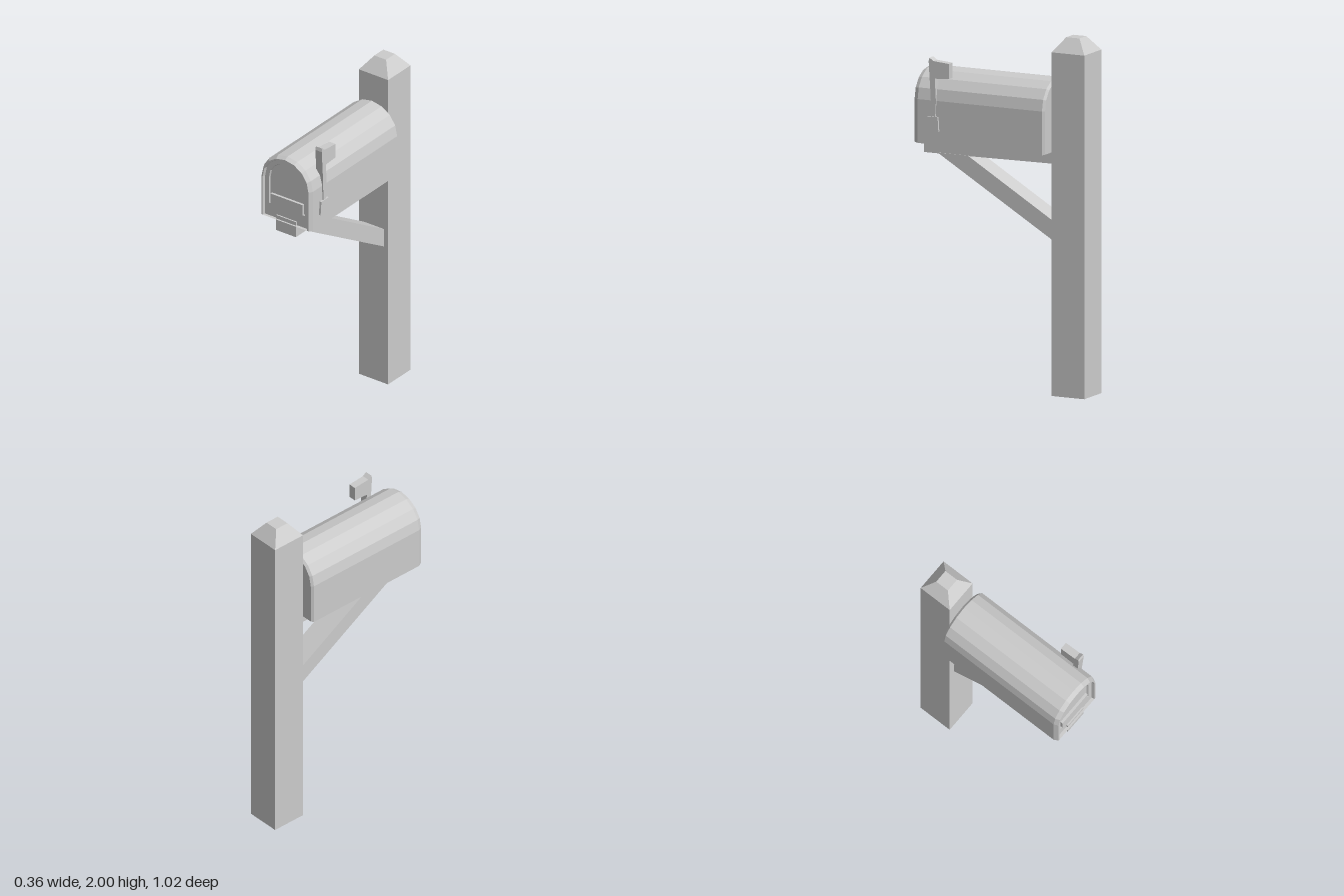
import * as THREE from 'three';

const CX = -0.0075; // middle of the box across x

// Arched outline, anticlockwise seen from the front
function arch(z, inset, base) {
  const w = 0.1725 - inset, spring = 1.6, pts = [];
  pts.push([CX - w, base, z], [CX + w, base, z]);
  for (let i = 0; i <= 8; i++) {
    const a = (Math.PI * i) / 8;
    pts.push([CX + w * Math.cos(a), spring + (0.165 - inset) * Math.sin(a), z]);
  }
  return pts;
}

// Skin a row of outlines and close both ends
function loft(rings) {
  const out = [], n = rings[0].length;
  const tri = (a, b, c) => out.push(...a, ...b, ...c);
  for (let r = 0; r < rings.length - 1; r++) {
    const A = rings[r], B = rings[r + 1];
    for (let i = 0; i < n; i++) {
      const j = (i + 1) % n;
      tri(A[i], A[j], B[j]);
      tri(A[i], B[j], B[i]);
    }
  }
  const first = rings[0], last = rings[rings.length - 1];
  for (let i = 1; i < n - 1; i++) {
    tri(first[0], first[i + 1], first[i]);
    tri(last[0], last[i], last[i + 1]);
  }
  const g = new THREE.BufferGeometry();
  g.setAttribute('position', new THREE.Float32BufferAttribute(out, 3));
  g.computeVertexNormals();
  return g;
}

// Side outline of [z, y] points, extruded across x
function sidePlate(points, x0, x1) {
  const shape = new THREE.Shape(points.map(([z, y]) => new THREE.Vector2(z, y)));
  const g = new THREE.ExtrudeGeometry(shape, { depth: x1 - x0, bevelEnabled: false });
  return g.rotateY(-Math.PI / 2).translate(x1, 0, 0);
}

function block(x0, x1, y0, y1, z0, z1) {
  return new THREE.BoxGeometry(x1 - x0, y1 - y0, z1 - z0)
    .translate((x0 + x1) / 2, (y0 + y1) / 2, (z0 + z1) / 2);
}

export function createModel() {
  const group = new THREE.Group();
  group.name = 'mailbox';
  const grey = new THREE.MeshStandardMaterial({ color: 0xcccccc, flatShading: true });
  grey.name = 'light grey';
  const add = (name, geometry) => {
    const m = new THREE.Mesh(geometry, grey);
    m.name = name;
    group.add(m);
  };

  // Post with a truncated pyramid cap
  add('post', block(-0.11, 0.09, 0, 1.92, -0.51, -0.305));
  const cap = new THREE.CylinderGeometry(0.04 * Math.SQRT2, 0.1 * Math.SQRT2, 0.08, 4, 1);
  cap.rotateY(Math.PI / 4).scale(1, 1, 1.025).translate(-0.01, 1.96, -0.4075);
  add('postCap', cap);

  // Box with bevelled ends, a front rim and a recessed door panel
  add('box', loft([
    arch(-0.3, 0.012, 1.358),
    arch(-0.287, 0, 1.355),
    arch(0.485, 0, 1.355),
    arch(0.51, 0.012, 1.358),
    arch(0.51, 0.02, 1.358),
    arch(0.492, 0.024, 1.358),
    arch(0.492, 0.05, 1.435),
    arch(0.482, 0.054, 1.435),
  ]));
  add('doorLedge', block(-0.117, 0.102, 1.435, 1.5, 0.47, 0.497));

  // Arm under the box and its diagonal brace
  add('arm', sidePlate([
    [-0.31, 1.292], [0.41, 1.285], [0.5, 1.285], [0.5, 1.38], [0.48, 1.38],
    [0.48, 1.357], [-0.31, 1.357],
  ], -0.075, 0.06));
  add('brace', sidePlate([
    [-0.31, 0.858], [0.415, 1.29], [0.228, 1.29], [-0.31, 0.968],
  ], -0.073, 0.063));

  // Signal flag on the left side with its mount
  add('flag', sidePlate([
    [0.375, 1.47], [0.398, 1.47], [0.4, 1.62], [0.413, 1.82], [0.408, 1.84],
    [0.385, 1.823], [0.287, 1.815], [0.287, 1.73], [0.375, 1.725], [0.368, 1.6],
  ], 0.128, 0.172));
  add('flagMount', sidePlate([
    [0.35, 1.43], [0.43, 1.43], [0.423, 1.512], [0.355, 1.512],
  ], 0.15, 0.177));

  return group;
}
